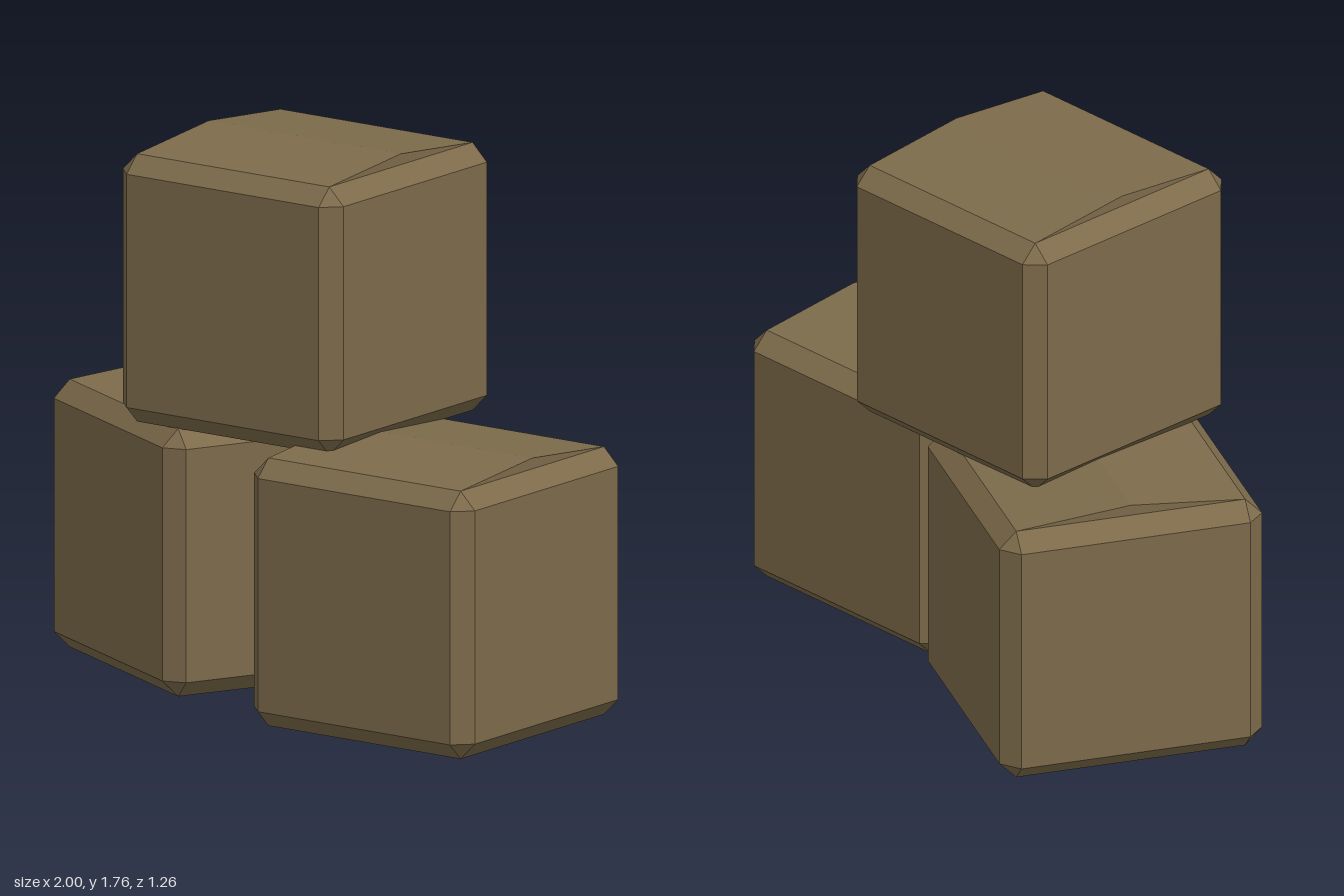
import * as THREE from 'three';
import { ConvexGeometry } from 'three/addons/geometries/ConvexGeometry.js';

const H = 0.433;   // half side of a crate
const C = 0.377;   // half side inside the bevels
const RISE = 0.035; // height of the ridged lid

const material = new THREE.MeshStandardMaterial({ color: 0x7d6b4b, flatShading: true });

function part(name, points) {
  const mesh = new THREE.Mesh(new ConvexGeometry(points), material);
  mesh.name = name;
  return mesh;
}

function crate(name, x, y, z, turn = 0) {
  const group = new THREE.Group();
  group.name = name;

  // Cube with bevelled edges and corners
  const body = [];
  for (const sx of [-1, 1]) for (const sy of [-1, 1]) for (const sz of [-1, 1]) {
    for (const [a, b, c] of [[H, C, C], [C, H, C], [C, C, H]]) {
      body.push(new THREE.Vector3(sx * a, sy * b, sz * c));
    }
  }
  group.add(part('crateBody', body));

  // Shallow gabled lid with its ridge along x
  const lid = [];
  for (const sx of [-1, 1]) {
    lid.push(
      new THREE.Vector3(sx * C, H, -C),
      new THREE.Vector3(sx * C, H, C),
      new THREE.Vector3(sx * C, H + RISE, 0)
    );
  }
  group.add(part('ridgedLid', lid));

  group.position.set(x, y + H, z);
  group.rotation.y = turn;
  return group;
}

export function createModel() {
  const model = new THREE.Group();
  model.name = 'crateStack';
  model.add(
    crate('leftCrate', 0.567, 0, 0.196),
    crate('rightCrate', -0.445, 0, -0.08, -0.46),
    crate('topCrate', -0.064, 0.864, 0.041)
  );
  return model;
}
